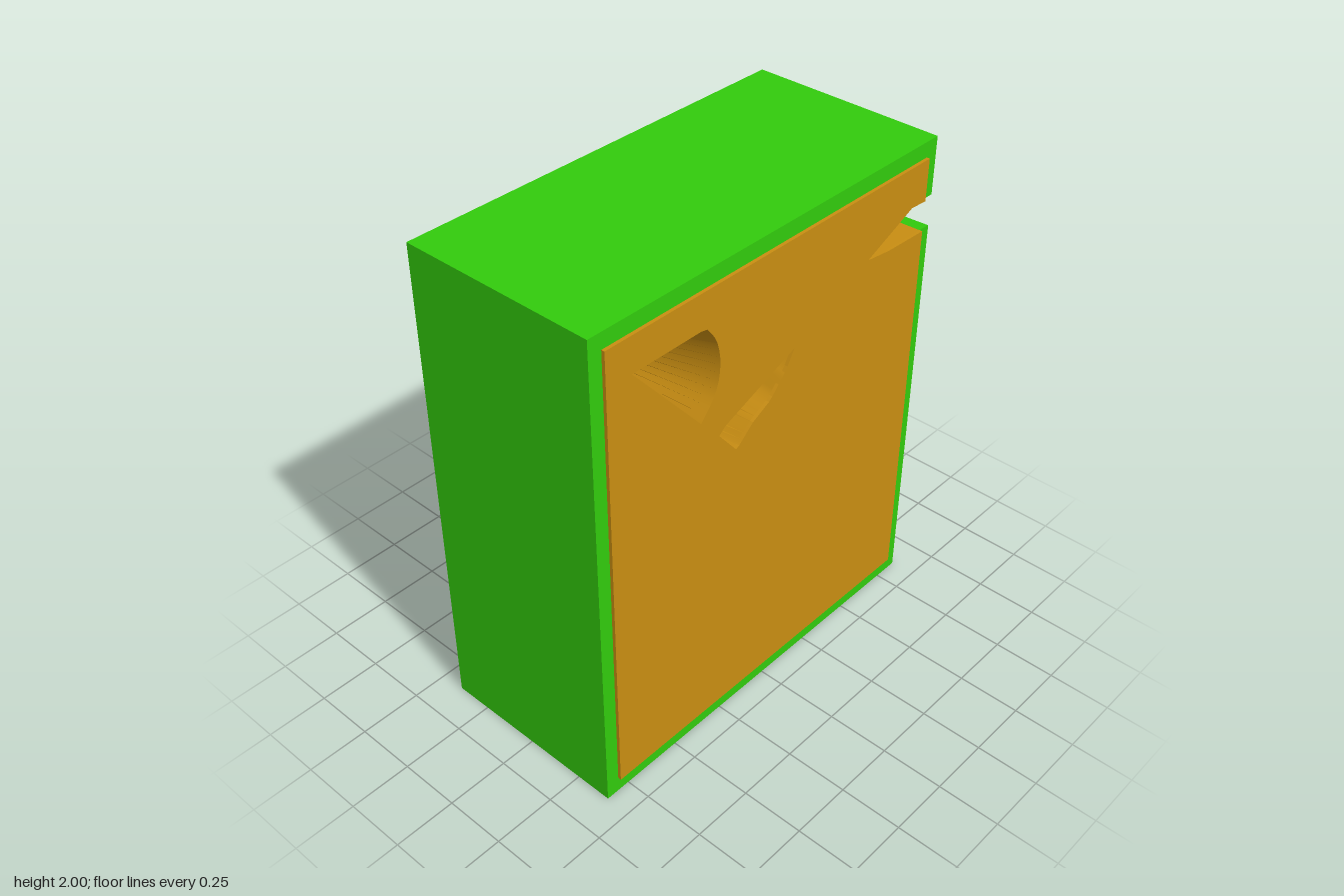
import * as THREE from 'three';
import { toCreasedNormals } from 'three/addons/utils/BufferGeometryUtils.js';

const W = 0.855, PX = 0.8, PY0 = 0.065, PY1 = 1.938, D = 0.4, PD = 0.413;
const v2 = (pts) => pts.map(([x, y]) => new THREE.Vector2(x, y));
const green = new THREE.MeshStandardMaterial({ color: 0x32cb0d, side: THREE.DoubleSide });
const orange = new THREE.MeshStandardMaterial({ color: 0xc98e12, side: THREE.DoubleSide });

// Evenly resample a polyline to n + 1 points
function resample(pts, n) {
  const path = new THREE.CurvePath();
  for (let i = 1; i < pts.length; i++) {
    path.add(new THREE.LineCurve(new THREE.Vector2(...pts[i - 1]), new THREE.Vector2(...pts[i])));
  }
  return path.getSpacedPoints(n).map((p) => [p.x, p.y]);
}

// Skin between matching polylines placed at different depths
function loft(sections) {
  const pos = [], idx = [], n = sections[0].pts.length;
  for (const s of sections) for (const [x, y] of s.pts) pos.push(x, y, s.z);
  for (let j = 0; j < sections.length - 1; j++) {
    for (let i = 0; i < n - 1; i++) {
      const a = j * n + i, b = a + n;
      idx.push(a, b, a + 1, b, b + 1, a + 1);
    }
  }
  const g = new THREE.BufferGeometry();
  g.setAttribute('position', new THREE.Float32BufferAttribute(pos, 3));
  g.setIndex(idx);
  return toCreasedNormals(g, 0.4);
}

// Side notch, lower lip to tip to upper lip, as front and back outlines
const notchFront = [[W, 1.645], [PX, 1.648], [0.6, 1.655], [0.48, 1.67], [0.72, 1.775], [PX, 1.77], [W, 1.77]];
const notchBack = [[W, 1.65], [PX, 1.668], [0.6, 1.668], [0.48, 1.675], [0.64, 1.722], [PX, 1.767], [W, 1.767]];
const bulge = [-1, -1, -0.5, 0, 0.5, 1, 1];
function notchAt(z) {
  const t = THREE.MathUtils.clamp((PD - z) / (2 * PD), 0, 1);
  const swell = 0.012 * (1 - (z / PD) ** 2);
  return notchFront.map(([x, y], i) => [
    x + (notchBack[i][0] - x) * t,
    y + (notchBack[i][1] - y) * t + bulge[i] * swell,
  ]);
}

// Crooked tunnels through the block: two sides each, from shared start to shared end
const arc = new THREE.SplineCurve(v2([[-0.36, 1.8], [-0.31, 1.73], [-0.29, 1.63], [-0.31, 1.53], [-0.38, 1.44]]))
  .getPoints(14).map((p) => [p.x, p.y]);
const tunnels = [
  {
    name: 'curvedTunnel',
    front: [[[-0.69, 1.8], ...arc], [[-0.69, 1.8], [-0.38, 1.44]]],
    back: [[[-0.675, 1.79], [-0.38, 1.445]],
      [[-0.675, 1.79], [-0.61, 1.36], [-0.49, 1.27], [-0.5, 1.375], [-0.38, 1.445]]],
  },
  {
    name: 'jaggedTunnel',
    front: [[[0.09, 1.5], [-0.26, 1.365], [-0.29, 1.34]],
      [[0.09, 1.5], [0.05, 1.43], [-0.03, 1.345], [-0.12, 1.3], [-0.2, 1.23], [-0.29, 1.34]]],
    back: [[[0.234, 1.613], [0.07, 1.59], [0.024, 1.5], [-0.057, 1.484], [-0.21, 1.368], [-0.455, 1.275]],
      [[0.234, 1.613], [0.085, 1.487], [0.045, 1.385], [-0.08, 1.3], [-0.145, 1.222], [-0.364, 1.168], [-0.455, 1.275]]],
  },
];
function outline([a, b]) {
  const n = 24, p = resample(a, n), q = resample(b, n);
  return [...p, ...q.reverse().slice(1, -1)];
}

// Shallow diagonal scratches on the back
const scratches = [
  [[0.638, 0.254], [0.34, 0.605], [0.31, 0.58], [0.35, 0.51]],
  [[0.307, 0.645], [0.31, 0.655], [0.13, 0.86], [0.127, 0.848]],
  [[0.067, 0.92], [0.07, 0.93], [-0.03, 1.036], [-0.033, 1.026]],
];

export function createModel() {
  const model = new THREE.Group();
  const add = (name, geometry, material) => {
    const m = new THREE.Mesh(geometry, material);
    m.name = name;
    model.add(m);
    return m;
  };

  // Outer shell, wrapping round from one lip of the notch to the other
  const zs = Array.from({ length: 13 }, (_, i) => D - (2 * D * i) / 12);
  add('shell', loft(zs.map((z) => {
    const n = notchAt(z);
    return { z, pts: [n[5], n[6], [W, 2], [-W, 2], [-W, 0], [W, 0], n[0], n[1]] };
  })), green);

  // Notch lining
  add('notchLining', loft(zs.map((z) => {
    const zz = (z * PD) / D;
    return { z: zz, pts: notchAt(zz).slice(1, 6) };
  })), orange);

  // Tunnel walls
  const holes = { front: [], back: [] };
  for (const t of tunnels) {
    const f = outline(t.front), b = outline(t.back);
    holes.front.push(f);
    holes.back.push(b);
    add(t.name, loft([{ z: PD, pts: [...f, f[0]] }, { z: -PD, pts: [...b, b[0]] }]), orange);
  }

  // Scratch pockets, sloping to a single deep point
  for (const s of scratches) {
    holes.back.push(s);
    const cx = s.reduce((a, p) => a + p[0], 0) / s.length;
    const cy = s.reduce((a, p) => a + p[1], 0) / s.length;
    const ring = [...s, s[0]];
    add('scratch', loft([{ z: -PD, pts: ring }, { z: -PD + 0.03, pts: ring.map(() => [cx, cy]) }]), orange);
  }

  // Face borders and raised panels, front and back
  for (const side of ['front', 'back']) {
    const s = side === 'front' ? 1 : -1;
    const n = notchAt(s * D);
    const border = new THREE.Shape(v2([
      n[6], [W, 2], [-W, 2], [-W, 0], [W, 0], n[0], n[1],
      [PX, PY0], [-PX, PY0], [-PX, PY1], [PX, PY1], n[5],
    ]));
    add(side + 'Border', new THREE.ShapeGeometry(border), green).position.z = s * D;

    const panel = new THREE.Shape(v2([
      [-PX, PY0], [PX, PY0], ...notchAt(s * PD).slice(1, 6), [PX, PY1], [-PX, PY1],
    ]));
    panel.holes = holes[side].map((h) => new THREE.Path(v2(h)));
    const g = new THREE.ExtrudeGeometry(panel, { depth: PD - D, bevelEnabled: false });
    add(side + 'Panel', g, orange).position.z = s > 0 ? D : -PD;
  }
  return model;
}
